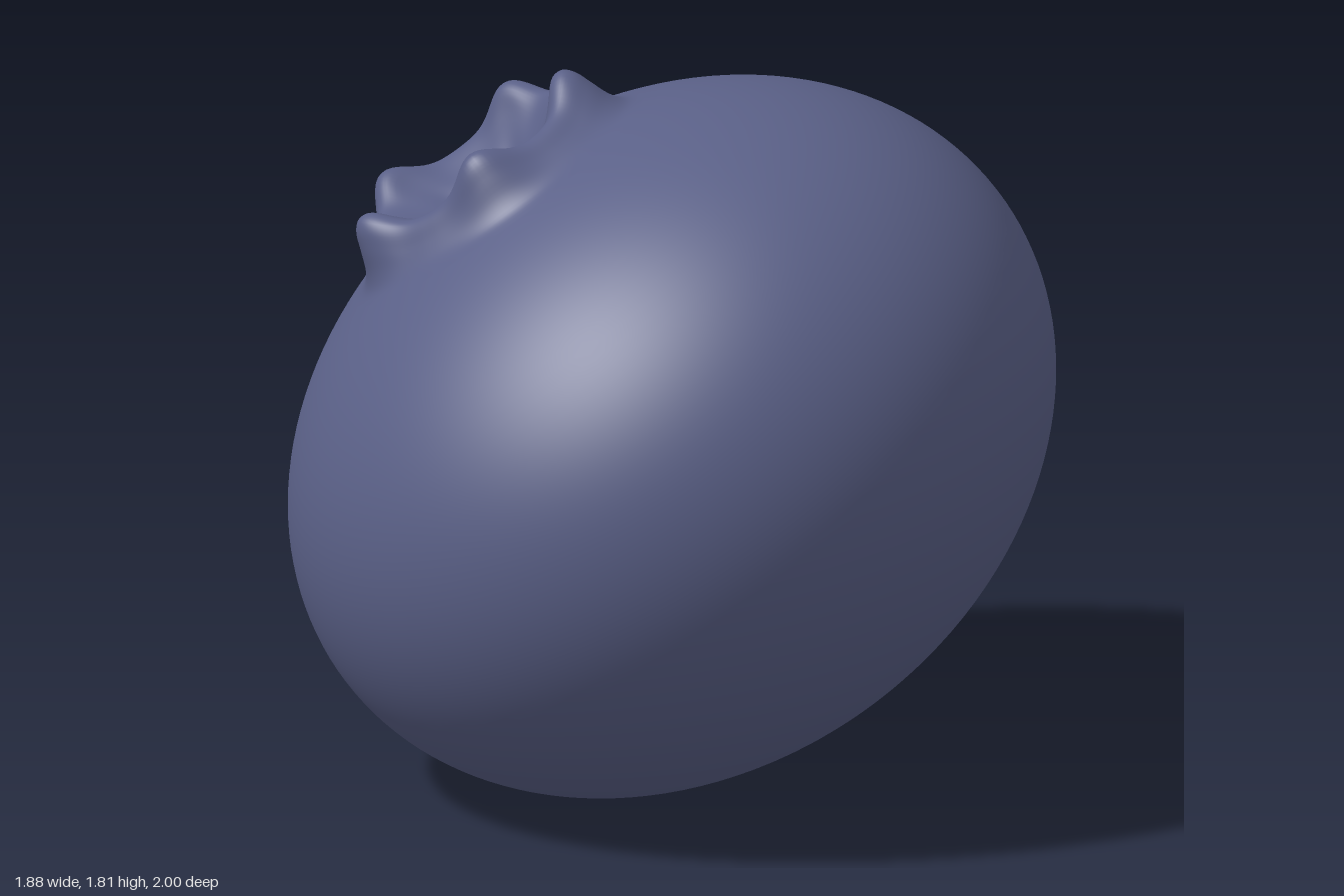
import * as THREE from 'three';
import { mergeVertices } from 'three/addons/utils/BufferGeometryUtils.js';

const RADIUS = 1, HALF_HEIGHT = 0.815, TILT = 0.628;
const PETALS = 5, SEGMENTS = 160, BODY_RINGS = 64, CROWN_RINGS = 50;

const spline = (pts) =>
  new THREE.SplineCurve(pts.map(([r, y]) => new THREE.Vector2(r, y))).getPoints(CROWN_RINGS);

// Crown sections, from the skin over the rim and down into the central pit
const valley = spline([[0.44, 0.732], [0.40, 0.748], [0.37, 0.766], [0.34, 0.795], [0.313, 0.83],
  [0.29, 0.843], [0.262, 0.836], [0.2, 0.803], [0.12, 0.763], [0.055, 0.72], [0.025, 0.68], [0, 0.6]]);
const petal = spline([[0.44, 0.732], [0.405, 0.752], [0.38, 0.79], [0.362, 0.845], [0.345, 0.89],
  [0.32, 0.912], [0.285, 0.903], [0.235, 0.842], [0.13, 0.757], [0.055, 0.715], [0.025, 0.68], [0, 0.6]]);

function berryGeometry() {
  // Oblate skin from the bottom pole up to the foot of the crown
  const end = Math.PI - Math.asin(0.44);
  const profile = [];
  for (let i = 0; i < BODY_RINGS; i++) {
    const a = (end * i) / BODY_RINGS;
    profile.push(new THREE.Vector2(RADIUS * Math.sin(a), -HALF_HEIGHT * Math.cos(a)));
  }
  profile.push(...valley);
  const geo = new THREE.LatheGeometry(profile, SEGMENTS);

  // Swell the crown into five rounded petals
  const pos = geo.attributes.position;
  const step = (Math.PI * 2) / PETALS;
  for (let s = 0; s <= SEGMENTS; s++) {
    const phi = (s / SEGMENTS) * Math.PI * 2;
    const fromPetal = phi - Math.round(phi / step) * step;
    const w = Math.exp(-((fromPetal / 0.27) ** 2));
    for (let j = 0; j <= CROWN_RINGS; j++) {
      const r = THREE.MathUtils.lerp(valley[j].x, petal[j].x, w);
      const y = THREE.MathUtils.lerp(valley[j].y, petal[j].y, w);
      pos.setXYZ(s * profile.length + BODY_RINGS + j, r * Math.sin(phi), y, r * Math.cos(phi));
    }
  }

  // Weld the seam for smooth normals
  geo.deleteAttribute('normal');
  geo.deleteAttribute('uv');
  const welded = mergeVertices(geo, 1e-5);
  welded.rotateY(Math.PI / 2); // one petal points uphill
  welded.computeVertexNormals();
  return welded;
}

export function createModel() {
  const group = new THREE.Group();
  group.name = 'berry';
  const skin = new THREE.MeshStandardMaterial({ color: 0x5a6087 });
  skin.name = 'dusty blue skin';

  const berry = new THREE.Mesh(berryGeometry(), skin);
  berry.name = 'berryWithCrown';
  berry.rotation.z = TILT;
  berry.position.y = 0.883;
  group.add(berry);
  return group;
}
